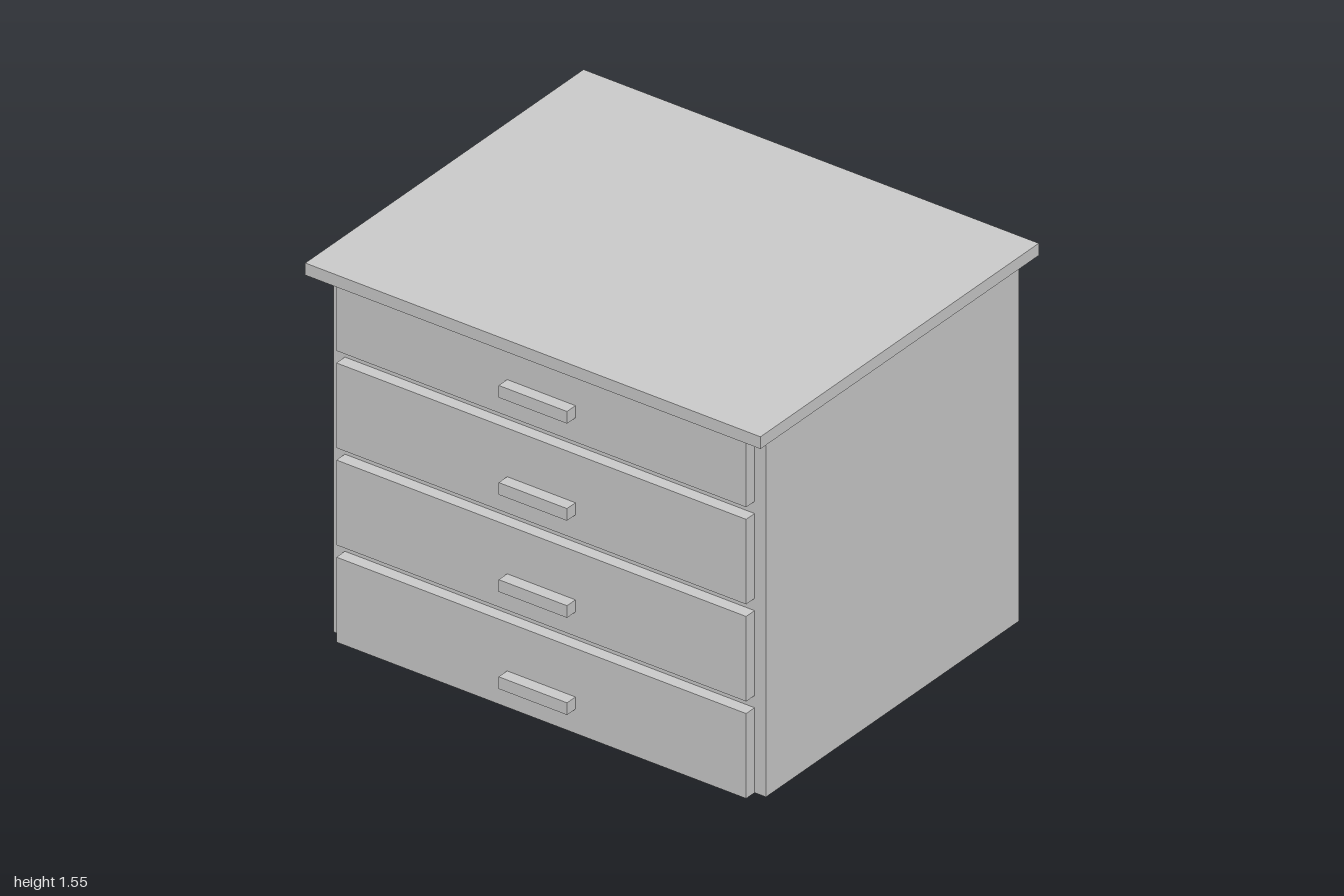
import * as THREE from 'three';

const material = new THREE.MeshStandardMaterial({ color: 0xcccccc, flatShading: true });

// Box given by its width, its bottom and top, and its back and front
function box(name, width, [y0, y1], [z0, z1]) {
  const mesh = new THREE.Mesh(new THREE.BoxGeometry(width, y1 - y0, z1 - z0), material);
  mesh.name = name;
  mesh.position.set(0, (y0 + y1) / 2, (z0 + z1) / 2);
  return mesh;
}

export function createModel() {
  const chest = new THREE.Group();
  chest.name = 'chestOfDrawers';

  // Cabinet body and overhanging top
  chest.add(box('cabinet', 1.9, [0, 1.5], [-0.775, 0.725]));
  chest.add(box('top', 2, [1.5, 1.55], [-0.825, 0.825]));

  // Four drawers, the uppermost cut short by the top
  for (let i = 0; i < 4; i++) {
    const y = i * 0.4;
    const drawer = new THREE.Group();
    drawer.name = `drawer${i + 1}`;
    drawer.add(box('drawerFront', 1.8, [y, Math.min(y + 0.35, 1.5)], [0.725, 0.775]));
    drawer.add(box('handle', 0.3, [y + 0.1, y + 0.15], [0.775, 0.825]));
    chest.add(drawer);
  }

  return chest;
}
